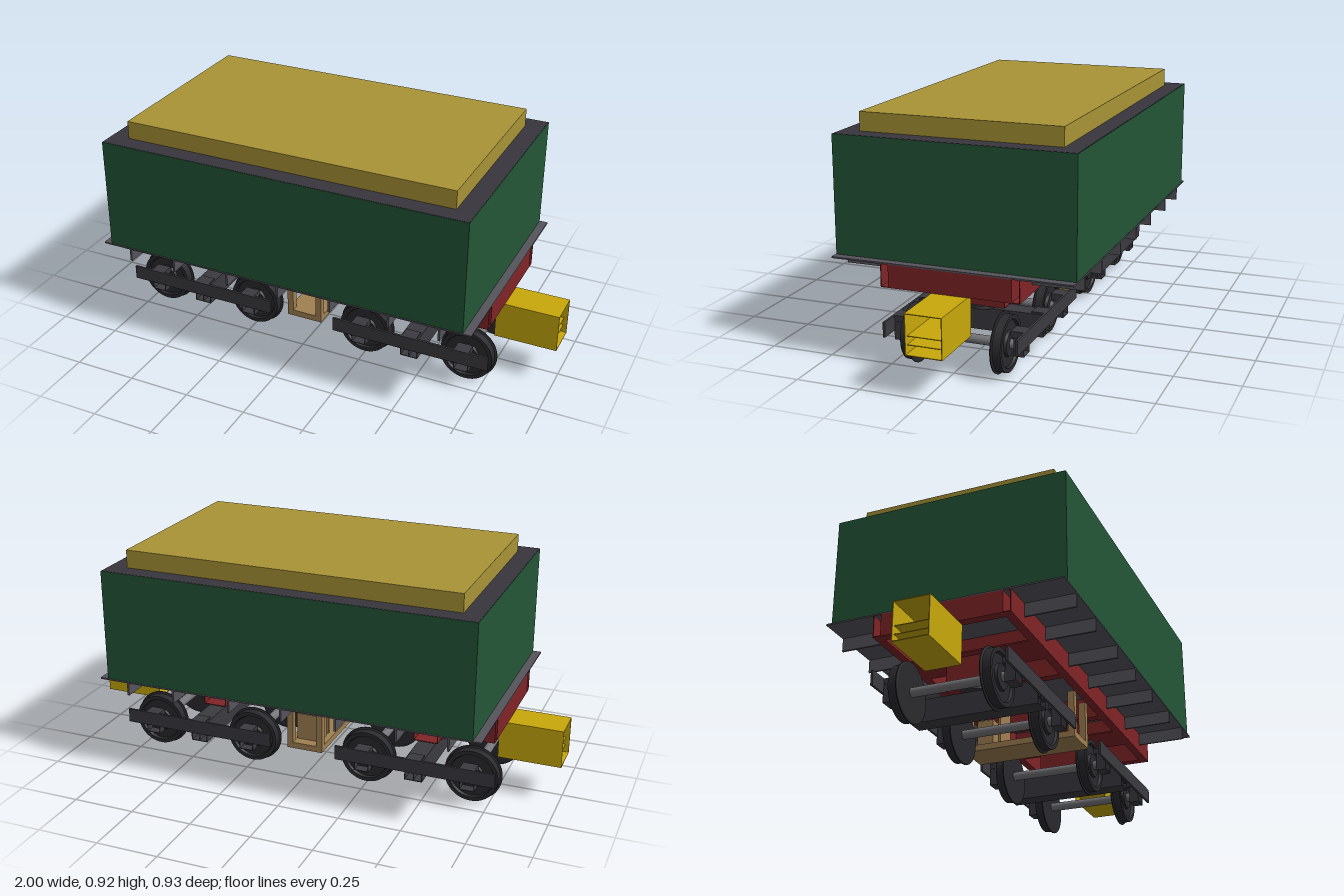
import * as THREE from 'three';

const mat = (color, side = THREE.FrontSide) => new THREE.MeshStandardMaterial({ color, side });
const RED = 0x802427, DARK = 0x3a3a40, GREY = 0x56545c, TAN = 0xa08052, YELLOW = 0xc8a80c;

// Box given by its limits on each axis
function box(parent, name, color, [x0, x1], [y0, y1], [z0, z1]) {
  const m = new THREE.Mesh(new THREE.BoxGeometry(x1 - x0, y1 - y0, z1 - z0), mat(color));
  m.position.set((x0 + x1) / 2, (y0 + y1) / 2, (z0 + z1) / 2);
  m.name = name;
  parent.add(m);
  return m;
}

// Thin-walled rectangular tube, open at both ends along 'x' or 'z'
function tube(parent, name, color, axis, [x0, x1], [y0, y1], [z0, z1], t = 0.003) {
  const g = new THREE.Group();
  g.name = name;
  box(g, 'topWall', color, [x0, x1], [y1 - t, y1], [z0, z1]);
  box(g, 'bottomWall', color, [x0, x1], [y0, y0 + t], [z0, z1]);
  const y = [y0 + t, y1 - t];
  if (axis === 'x') {
    box(g, 'sideWall', color, [x0, x1], y, [z0, z0 + t]);
    box(g, 'sideWall', color, [x0, x1], y, [z1 - t, z1]);
  } else {
    box(g, 'sideWall', color, [x0, x0 + t], y, [z0, z1]);
    box(g, 'sideWall', color, [x1 - t, x1], y, [z0, z1]);
  }
  parent.add(g);
  return g;
}

// Wheel profile: flange on the inner face, tread, rim, dished web and hub
const wheelProfile = [
  [0, 0], [0.108, 0], [0.115, 0.002], [0.115, 0.006], [0.107, 0.009], [0.106, 0.04],
  [0.09, 0.04], [0.086, 0.03], [0.05, 0.03], [0.046, 0.04], [0.02, 0.04], [0, 0.04],
];

function wheel(s) {
  // doubled corner points keep the edges crisp
  const pts = wheelProfile.flatMap(([r, h]) => [new THREE.Vector2(r, h), new THREE.Vector2(r, h)]);
  const m = new THREE.Mesh(new THREE.LatheGeometry(pts, 40), mat(0x2a2a2e, THREE.DoubleSide));
  m.rotation.x = s * Math.PI / 2;
  m.position.z = s * 0.155;
  m.name = 'wheel';
  return m;
}

function wheelset() {
  const g = new THREE.Group();
  g.name = 'wheelset';
  const axle = new THREE.Mesh(new THREE.CylinderGeometry(0.018, 0.018, 0.46, 24), mat(0x77777b));
  axle.rotation.x = Math.PI / 2;
  axle.name = 'axle';
  g.add(axle);
  for (const s of [1, -1]) {
    g.add(wheel(s));
    const b = tube(g, 'axleBox', DARK, 'z', [-0.03, 0.03], [-0.034, 0.036], [0.215, 0.255]);
    if (s < 0) b.rotation.y = Math.PI;
  }
  return g;
}

function truck() {
  const g = new THREE.Group();
  g.name = 'truck';
  for (const x of [-0.215, 0.215]) {
    const w = wheelset();
    w.position.set(x, 0.118, 0);
    g.add(w);
  }
  // side frames, with small caps above the axle boxes
  for (const s of [1, -1]) {
    const z = (a, b) => (s > 0 ? [a, b] : [-b, -a]);
    box(g, 'sideFrame', DARK, [-0.325, 0.325], [0.12, 0.178], z(0.253, 0.262));
    for (const x of [-0.215, 0, 0.215])
      box(g, 'spacer', DARK, [x - 0.03, x + 0.03], [0.155, 0.178], z(0.205, 0.253));
  }
  // hollow transverse beam with inner ribs
  tube(g, 'truckBeam', DARK, 'z', [-0.036, 0.036], [0.083, 0.172], [-0.253, 0.253]);
  box(g, 'beamRib', DARK, [-0.001, 0.001], [0.085, 0.17], [-0.25, 0.25]);
  box(g, 'beamRib', DARK, [-0.034, 0.034], [0.115, 0.117], [-0.25, 0.25]);
  const pivot = new THREE.Mesh(new THREE.CylinderGeometry(0.06, 0.06, 0.014, 32), mat(DARK));
  pivot.position.y = 0.178;
  pivot.name = 'pivotPlate';
  g.add(pivot);
  return g;
}

export function createModel() {
  const model = new THREE.Group();
  model.name = 'tenderWagon';

  // Body and load
  box(model, 'body', 0x235637, [-0.75, 0.75], [0.403, 0.852], [-0.463, 0.463]);
  box(model, 'bodyTop', 0x38363c, [-0.748, 0.748], [0.85, 0.853], [-0.461, 0.461]);
  box(model, 'load', 0xa89436, [-0.675, 0.675], [0.852, 0.925], [-0.39, 0.39]);

  // Deck and underframe
  box(model, 'deck', GREY, [-0.783, 0.783], [0.397, 0.403], [-0.465, 0.465]);
  for (const z of [[0.235, 0.268], [-0.268, -0.235]])
    tube(model, 'sideSill', RED, 'x', [-0.783, 0.783], [0.31, 0.4], z);
  for (const x of [-0.765, -0.465, -0.22, 0.22, 0.465, 0.765])
    tube(model, 'crossBeam', RED, 'z', [x - 0.018, x + 0.018], [0.31, 0.398], [-0.235, 0.235]);
  for (const x of [-0.66, -0.46, -0.22, 0, 0.22, 0.46, 0.66])
    for (const z of [[0.268, 0.464], [-0.464, -0.268]])
      box(model, 'outrigger', GREY, [x - 0.004, x + 0.004], [0.345, 0.398], z);

  for (const s of [1, -1]) {
    const end = new THREE.Group();
    end.name = 'runningGear';
    // bolster and the truck below it
    tube(end, 'bolster', RED, 'z', [0.415, 0.515], [0.183, 0.312], [-0.105, 0.105]);
    box(end, 'bolsterPlate', RED, [0.385, 0.545], [0.31, 0.316], [-0.235, 0.235]);
    const t = truck();
    t.position.x = 0.465;
    end.add(t);
    // hollow coupler pocket with two shelves
    tube(end, 'couplerBox', YELLOW, 'x', [0.75, 1], [0.156, 0.309], [-0.07, 0.07]);
    for (const y of [0.19, 0.222])
      box(end, 'couplerShelf', YELLOW, [0.755, 0.985], [y - 0.0015, y + 0.0015], [-0.067, 0.067]);
    // rotated rather than scaled so the faces keep their winding
    if (s < 0) end.rotation.y = Math.PI;
    model.add(end);
  }

  // Equipment cradle hanging from the middle of the frame
  for (const x of [[-0.075, -0.05], [0.05, 0.075]])
    for (const z of [[0.205, 0.233], [-0.233, -0.205]])
      box(model, 'cradlePost', TAN, x, [0.12, 0.312], z);
  box(model, 'cradleFloor', TAN, [-0.075, 0.075], [0.12, 0.145], [-0.233, 0.233]);
  box(model, 'equipmentBox', TAN, [-0.05, 0.05], [0.145, 0.256], [-0.19, -0.122]);
  box(model, 'cradlePanel', TAN, [-0.05, 0.05], [0.145, 0.312], [-0.1, -0.09]);
  return model;
}
